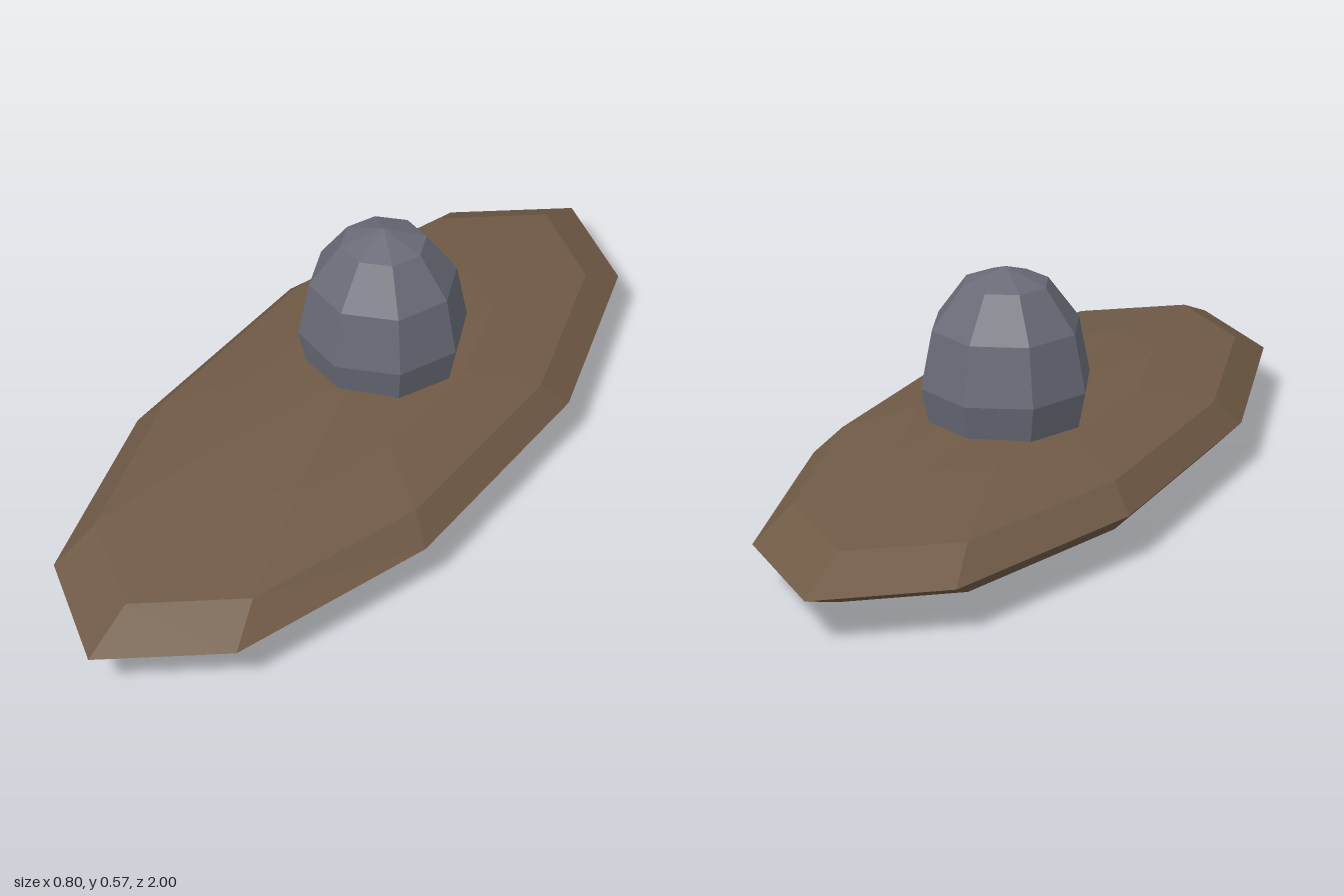
import * as THREE from 'three';

// Low-poly ellipsoid with flat facets
function ellipsoid(name, color, sides, radii, position) {
  const geometry = new THREE.SphereGeometry(1, sides, 6);
  geometry.rotateY(Math.PI / 2); // puts a vertex on the long z axis
  geometry.scale(...radii);
  const material = new THREE.MeshStandardMaterial({ color, flatShading: true });
  const mesh = new THREE.Mesh(geometry, material);
  mesh.name = name;
  mesh.position.set(...position);
  return mesh;
}

export function createModel() {
  const model = new THREE.Group();
  model.name = 'model';

  // Long flattened body, pointed at both ends
  model.add(ellipsoid('body', 0x705a46, 10, [0.42, 0.115, 1], [0, 0.115, 0]));

  // Faceted dome sunk into the body, slightly behind the middle
  model.add(ellipsoid('dome', 0x686b76, 8, [0.2, 0.27, 0.2], [0, 0.3, -0.12]));

  return model;
}
